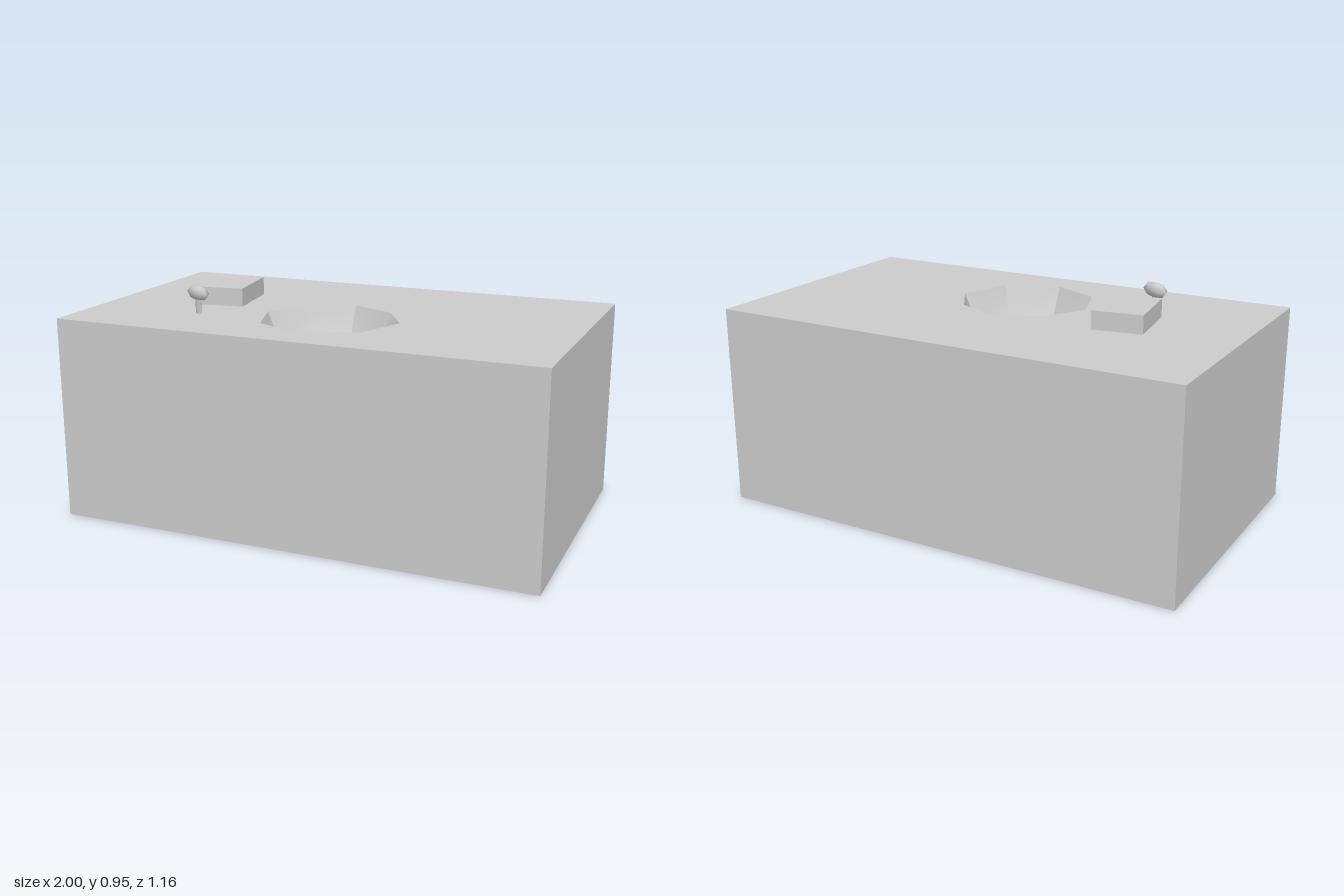
import * as THREE from 'three';
import { toCreasedNormals } from 'three/addons/utils/BufferGeometryUtils.js';

const W = 2, H = 0.836, D = 1.164;
const BASIN_Z = 0.155;
const material = new THREE.MeshStandardMaterial({ color: 0xcccccc });

// Slightly irregular eight-sided basin outline, relative to its centre (x, z)
const RIM = [
  [0.29, -0.025], [0.21, 0.185], [-0.01, 0.283], [-0.215, 0.185],
  [-0.285, -0.025], [-0.18, -0.195], [0, -0.282], [0.19, -0.195],
];

function add(parent, name, geometry, x = 0, y = 0, z = 0) {
  const mesh = new THREE.Mesh(geometry, material);
  mesh.name = name;
  mesh.position.set(x, y, z);
  parent.add(mesh);
  return mesh;
}

// Counter sides and underside: a box without its top face
function counterSides() {
  const geometry = new THREE.BoxGeometry(W, H, D);
  const index = Array.from(geometry.index.array);
  index.splice(12, 6);
  geometry.setIndex(index);
  geometry.clearGroups();
  return geometry;
}

// Counter top with the basin opening cut out
function counterTop() {
  const shape = new THREE.Shape([
    [-W / 2, -D / 2], [W / 2, -D / 2], [W / 2, D / 2], [-W / 2, D / 2],
  ].map(([x, y]) => new THREE.Vector2(x, y)));
  shape.holes.push(new THREE.Path(
    RIM.map(([x, z]) => new THREE.Vector2(x, -(z + BASIN_Z)))
  ));
  return new THREE.ShapeGeometry(shape).rotateX(-Math.PI / 2);
}

// Basin: the outline shrinks ring by ring down to a flat floor
function basinGeometry() {
  const rings = [[1, 0], [0.78, -0.14], [0.335, -0.27], [0, -0.27]];
  const n = RIM.length;
  const positions = [], index = [];
  for (const [s, y] of rings) {
    for (const [x, z] of RIM) positions.push(x * s, y, z * s);
  }
  for (let r = 0; r < rings.length - 1; r++) {
    for (let i = 0; i < n; i++) {
      const a = r * n + i, b = r * n + (i + 1) % n;
      index.push(a, a + n, b);
      if (r < rings.length - 2) index.push(b, a + n, b + n);
    }
  }
  const geometry = new THREE.BufferGeometry();
  geometry.setAttribute('position', new THREE.Float32BufferAttribute(positions, 3));
  geometry.setIndex(index);
  return toCreasedNormals(geometry, 0.6);
}

export function createModel() {
  const model = new THREE.Group();
  model.name = 'washstand';

  add(model, 'counterBody', counterSides(), 0, H / 2, 0);
  add(model, 'counterTop', counterTop(), 0, H, 0);
  add(model, 'basin', basinGeometry(), 0, H, BASIN_Z);
  add(model, 'drainPlug', new THREE.SphereGeometry(0.053, 8, 6), 0, H - 0.26, BASIN_Z + 0.003);

  // Block resting just above the counter
  const block = add(model, 'block', new THREE.BoxGeometry(0.205, 0.075, 0.278), -0.527, 0.8825, 0);
  block.rotation.y = 0.143;

  // Tap knob: flattened stem and domed cap
  const knob = new THREE.Group();
  knob.name = 'knob';
  knob.position.set(-0.53, H, 0.27);
  knob.rotation.y = -0.58;
  model.add(knob);

  const stem = add(knob, 'knobStem', new THREE.CylinderGeometry(1, 1, 0.066, 8), 0, 0.033, 0);
  stem.scale.set(0.018, 1, 0.009);

  const profile = [[0, 0.062], [0.7, 0.062], [1, 0.086], [0.7, 0.107], [0, 0.116]];
  const cap = add(knob, 'knobCap', new THREE.LatheGeometry(
    profile.map(([r, y]) => new THREE.Vector2(r, y)), 8
  ));
  cap.scale.set(0.076, 1, 0.031);

  return model;
}
